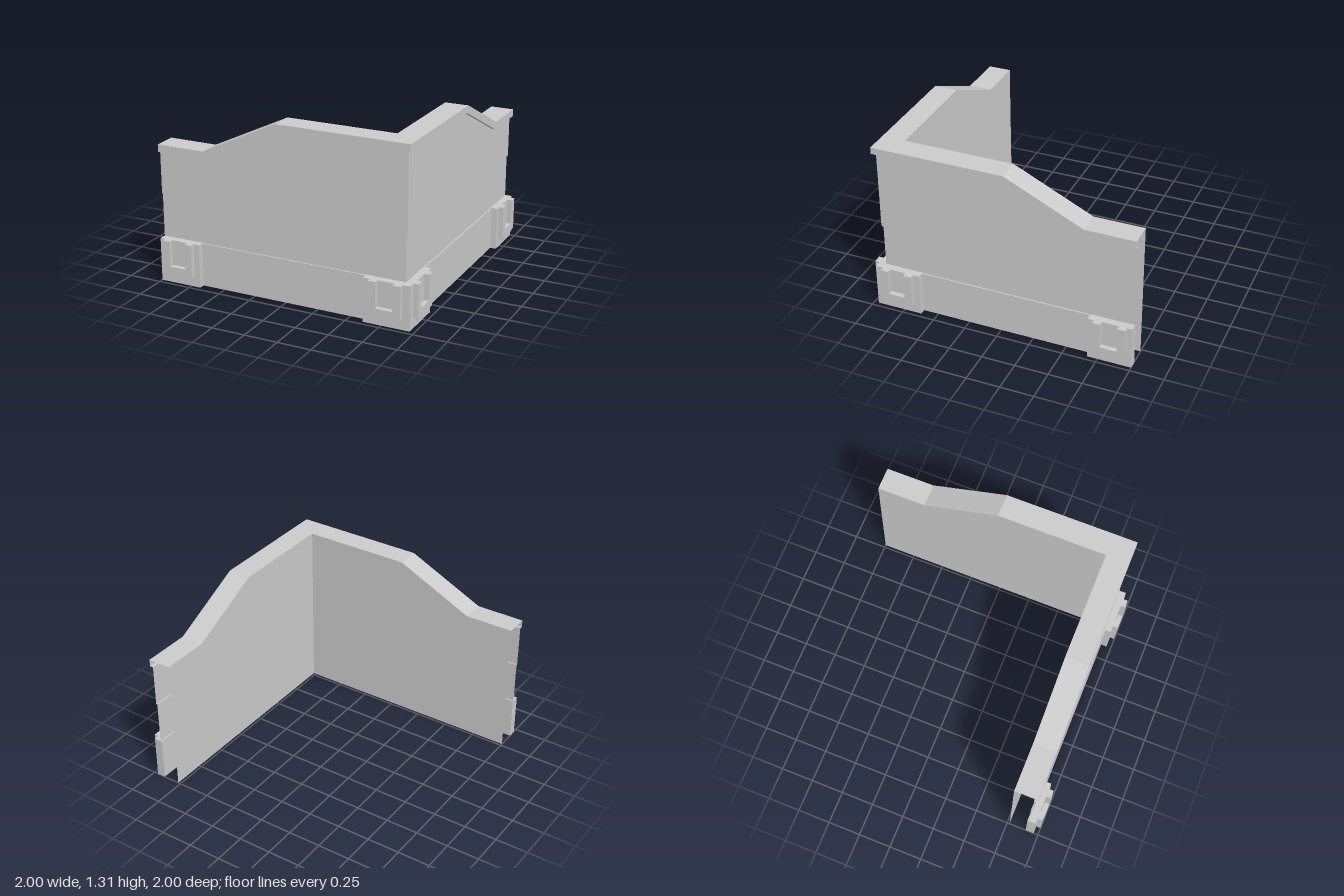
import * as THREE from 'three';

const material = new THREE.MeshStandardMaterial({ color: 0xcccccc, flatShading: true, side: THREE.DoubleSide });

// Heights that follow the sloping top: [position along wall, height]
const TOP = [[-1, 1.03], [-0.63, 1.03], [-0.05, 1.307]];
const LIP = [[-1, 0.975], [-0.615, 0.975], [-0.03, 1.257]];
const level = (y) => [[-1, y], [-0.63, y], [-0.05, y]];

// Sweeps a section of [distance from centre, height line] along one wall,
// ending in a mitre at the corner. side = true turns it onto the +x wall.
function sweep(name, section, side) {
  const rows = section.map(([d, line]) => [...line, [d, line[2][1]]].map(([s, y]) =>
    side ? [d, y, s] : [s, y, d]));
  const pos = [];
  for (let j = 0; j < rows.length - 1; j++) {
    for (let i = 0; i < 3; i++) {
      const a = rows[j][i], b = rows[j + 1][i], c = rows[j + 1][i + 1], d = rows[j][i + 1];
      const quad = side ? [a, c, b, a, d, c] : [a, b, c, a, c, d];
      quad.forEach((p) => pos.push(...p));
    }
  }
  const geo = new THREE.BufferGeometry();
  geo.setAttribute('position', new THREE.Float32BufferAttribute(pos, 3));
  geo.computeVertexNormals();
  const mesh = new THREE.Mesh(geo, material);
  mesh.name = name;
  return mesh;
}

function box(name, x0, x1, y0, y1, z0, z1) {
  const mesh = new THREE.Mesh(new THREE.BoxGeometry(x1 - x0, y1 - y0, z1 - z0), material);
  mesh.position.set((x0 + x1) / 2, (y0 + y1) / 2, (z0 + z1) / 2);
  mesh.name = name;
  return mesh;
}

// Foot block on a +z facing wall: backing plate, U-shaped frame, stepped underside
function footBlock(name, x0, x1, centre) {
  const block = new THREE.Group();
  block.name = name;
  block.add(box('plate', x0, x1, 0, 0.327, 0.9, 0.965));

  const u = new THREE.Shape([
    [-0.121, 0.08], [0.121, 0.08], [0.121, 0.327], [0.062, 0.327],
    [0.062, 0.135], [-0.062, 0.135], [-0.062, 0.327], [-0.121, 0.327],
  ].map(([x, y]) => new THREE.Vector2(x, y)));
  const frame = new THREE.Mesh(new THREE.ExtrudeGeometry(u, { depth: 0.035, bevelEnabled: false }), material);
  frame.name = 'frame';
  frame.position.set(centre, 0, 0.965);
  block.add(frame);

  // Steps shrink in width and depth towards the ground
  const steps = 7, rise = 0.01;
  for (let i = 0; i < steps; i++) {
    const half = 0.092 - i * 0.0075;
    const top = 0.08 - i * rise;
    block.add(box('step', centre - half, centre + half, top - rise, top, 0.963, 0.998 - i * 0.0045));
  }
  return block;
}

export function createModel() {
  const model = new THREE.Group();
  model.name = 'cornerWall';

  for (const side of [false, true]) {
    const wall = new THREE.Group();
    wall.name = side ? 'sideWall' : 'frontWall';

    // Hollow shell, open at the end and underneath
    wall.add(sweep('innerPanel', [[0.77, level(0)], [0.77, LIP]], side));
    wall.add(sweep('cap', [[0.77, LIP], [0.77, TOP], [0.946, TOP], [0.946, LIP], [0.92, LIP]], side));
    wall.add(sweep('upperPanel', [[0.92, LIP], [0.92, level(0.655)], [0.91, level(0.655)]], side));
    wall.add(sweep('middlePanel', [[0.91, level(0.655)], [0.91, level(0.325)]], side));
    wall.add(sweep('lowerPanel', [[0.91, level(0.325)], [0.92, level(0.325)], [0.92, level(0)]], side));

    // Foot blocks; the side wall uses the same layout turned by a quarter
    const feet = new THREE.Group();
    feet.name = 'feet';
    if (side) {
      feet.add(footBlock('endFoot', 0.675, 1, 0.84), footBlock('cornerFoot', -0.965, -0.615, -0.788));
      feet.rotation.y = Math.PI / 2;
    } else {
      feet.add(footBlock('endFoot', -1, -0.675, -0.84), footBlock('cornerFoot', 0.615, 0.965, 0.788));
    }
    wall.add(feet);
    model.add(wall);
  }
  return model;
}
